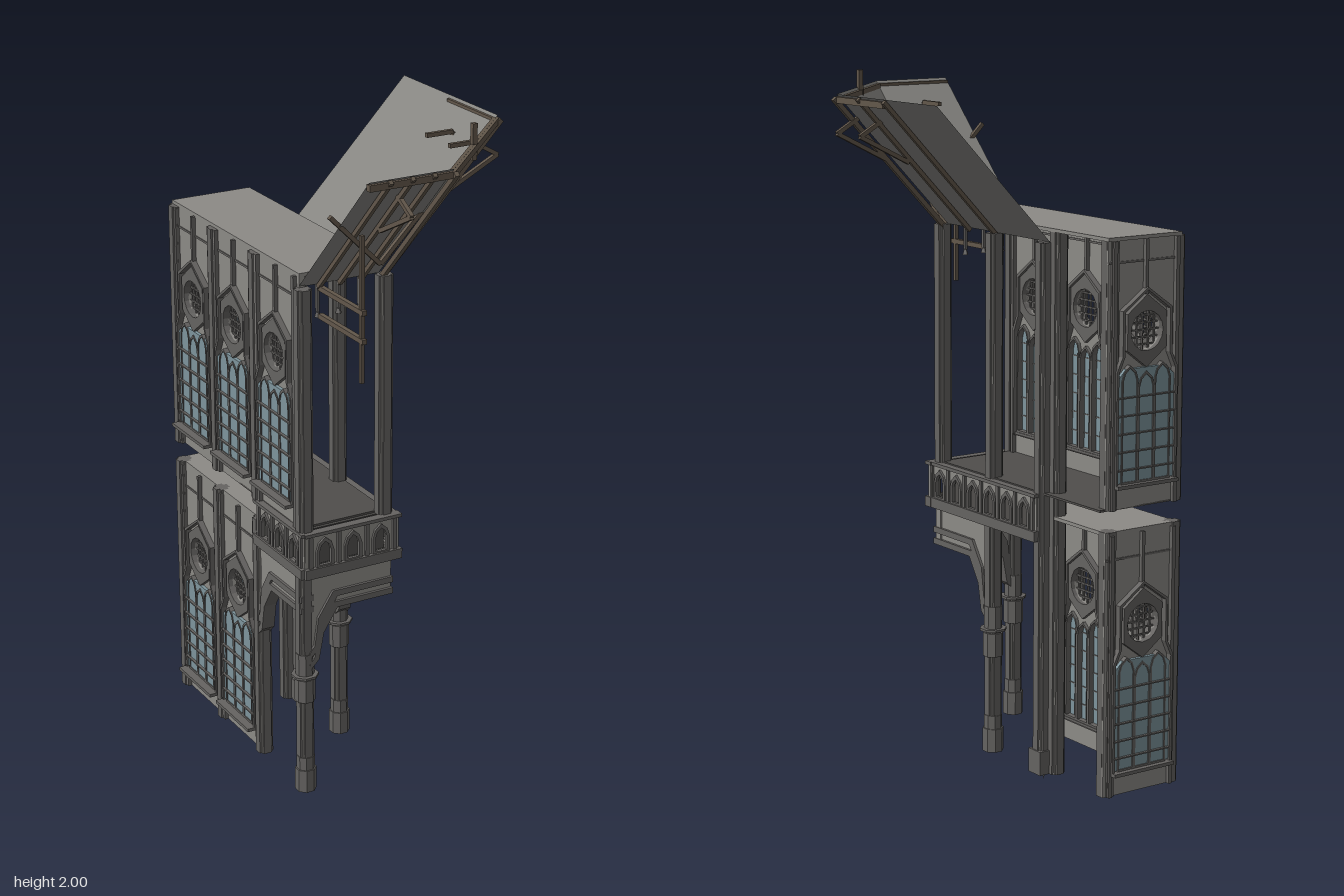
import * as THREE from 'three';

const mat = (color, side = THREE.FrontSide) => new THREE.MeshStandardMaterial({ color, side, flatShading: true });
const STONE = mat(0x8c8a86), TRIM = mat(0x656361), DARK = mat(0x504e4c), GLASS = mat(0x7d949c, THREE.DoubleSide);
const WOOD = mat(0x62574b), SHEET = mat(0x858480, THREE.DoubleSide);
const V = (x, y, z) => new THREE.Vector3(x, y, z);

function add(parent, name, geometry, material, x = 0, y = 0, z = 0) {
  const m = new THREE.Mesh(geometry, material);
  m.name = name;
  m.position.set(x, y, z);
  parent.add(m);
  return m;
}
// box given by its min and max corners
function block(parent, name, material, a, b) {
  return add(parent, name, new THREE.BoxGeometry(b[0] - a[0], b[1] - a[1], b[2] - a[2]), material,
    (a[0] + b[0]) / 2, (a[1] + b[1]) / 2, (a[2] + b[2]) / 2);
}
// square timber between two points
function beam(parent, name, a, b, t = 0.012) {
  const m = add(parent, name, new THREE.BoxGeometry(t, t, a.distanceTo(b)), WOOD);
  m.position.copy(a).add(b).multiplyScalar(0.5);
  m.lookAt(b);
}
const poly = pts => pts.map(p => new THREE.Vector2(p[0], p[1]));
function plate(outline, holes, depth) {
  const s = new THREE.Shape(outline);
  holes.forEach(h => s.holes.push(new THREE.Path(h)));
  return new THREE.ExtrudeGeometry(s, { depth, bevelEnabled: false });
}
const rect = (w, y0, y1) => poly([[-w / 2, y0], [w / 2, y0], [w / 2, y1], [-w / 2, y1]]);
// pointed light: centre x, half width, foot, top
const lancet = (x, h, y0, y1) => poly([[x - h, y0], [x + h, y0], [x + h, y1 - h * 1.5],
  [x + h * 0.7, y1 - h * 0.6], [x, y1], [x - h * 0.7, y1 - h * 0.6], [x - h, y1 - h * 1.5]]);
const disc = (r, cy, n = 16) => Array.from({ length: n }, (_, i) =>
  new THREE.Vector2(r * Math.cos(i / n * 2 * Math.PI), cy + r * Math.sin(i / n * 2 * Math.PI)));
const hex = (w, h, cy) => poly([[0, cy - h], [w, cy - h * 0.5], [w, cy + h * 0.5], [0, cy + h], [-w, cy + h * 0.5], [-w, cy - h * 0.5]]);

// one wall bay with a three-light window and a round grille, moulded on both faces, outside facing +z
function bay(height, sillOut) {
  const g = new THREE.Group();
  g.name = 'windowBay';
  const cy = 0.49, tops = [0.395, 0.375, 0.395];
  const lights = tops.map((t, i) => lancet((i - 1) * 0.056, 0.025, 0.075, t));
  add(g, 'wall', plate(rect(0.25, 0, height), [...lights, disc(0.055, cy)], 0.018), STONE, 0, 0, -0.018);
  block(g, 'glass', GLASS, [-0.085, 0.07, -0.0105], [0.085, 0.395, -0.0075]);
  // wide outer glazing with projecting saddle bars
  const outer = poly([[-0.1, 0.075], [0.1, 0.075], [0.1, 0.36], [0.07, 0.39], [-0.07, 0.39], [-0.1, 0.36]]);
  add(g, 'outerGlazing', plate(outer, [], 0.01), GLASS, 0, 0, 0.002);
  for (let y = 0.11; y < 0.36; y += 0.05) block(g, 'saddleBar', TRIM, [-0.1, y, 0.01], [0.1, y + 0.004, 0.02]);
  // hood moulding round the whole window
  const hood = k => poly([[-0.085 - k, 0.065], [0.085 + k, 0.065], [0.085 + k, 0.375 + k / 2], [0.065 + k, 0.425],
    [0.065 + k, 0.54 + k / 2], [0, 0.59 + k], [-0.065 - k, 0.54 + k / 2], [-0.065 - k, 0.425], [-0.085 - k, 0.375 + k / 2]]);
  add(g, 'innerHood', plate(hood(0.012), [hood(0.003)], 0.02), TRIM, 0, 0, -0.036);
  add(g, 'outerHood', plate(hood(0.02), [hood(0.012)], 0.018), TRIM);
  add(g, 'hexagonFrame', plate(hex(0.067, 0.1, cy), [disc(0.055, cy)], 0.044), TRIM, 0, 0, -0.03);
  tops.forEach((t, i) => add(g, 'lightFrame', plate(lancet((i - 1) * 0.056, 0.028, 0.072, t + 0.005),
    [lancet((i - 1) * 0.056, 0.023, 0.078, t - 0.003)], 0.043), TRIM, 0, 0, -0.028));
  // grille and glazing bars
  for (let i = -2; i <= 2; i++) {
    const d = i * 0.02, s = Math.sqrt(0.055 ** 2 - d * d);
    block(g, 'grilleBar', TRIM, [d - 0.0022, cy - s, -0.012], [d + 0.0022, cy + s, -0.006]);
    block(g, 'grilleBar', TRIM, [-s, cy + d - 0.0022, -0.012], [s, cy + d + 0.0022, -0.006]);
  }
  for (let y = 0.12; y < 0.36; y += 0.055) block(g, 'glazingBar', TRIM, [-0.08, y, -0.013], [0.08, y + 0.003, -0.005]);
  for (const x of [-0.056, 0, 0.056]) block(g, 'glazingBar', TRIM, [x - 0.001, 0.075, -0.013], [x + 0.001, 0.35, -0.005]);
  block(g, 'sill', TRIM, [-0.105, 0.062, -0.03], [0.105, 0.072, sillOut]);
  block(g, 'stringCourse', TRIM, [-0.125, 0.678, -0.021], [0.125, 0.684, 0.003]);
  for (const x of [-0.107, 0.107]) block(g, 'edgeShaft', TRIM, [x - 0.006, 0, -0.03], [x + 0.006, height - 0.01, 0.012]);
  block(g, 'crownShaft', TRIM, [-0.005, 0.59, -0.03], [0.005, height - 0.01, 0.012]);
  return g;
}
function placeBay(parent, x, y, z, turn, height, sillOut) {
  const g = bay(height, sillOut);
  g.position.set(x, y, z);
  g.rotation.y = turn * Math.PI / 2;
  parent.add(g);
}
// stepped clustered column
function column(parent, x, z, y0, y1) {
  block(parent, 'column', TRIM, [x - 0.0225, y0, z - 0.012], [x + 0.0225, y1, z + 0.012]);
  block(parent, 'column', TRIM, [x - 0.012, y0, z - 0.0225], [x + 0.012, y1, z + 0.0225]);
  block(parent, 'columnCore', STONE, [x - 0.017, y0, z - 0.017], [x + 0.017, y1 - 0.002, z + 0.017]);
}
// arcade post: plinth, shaft, capital
function post(parent, x, z) {
  column(parent, x, z, 0.03, 0.72);
  const rings = [[0.031, 0.03, 0.1], [0.027, 0.1, 0.14], [0.03, 0.32, 0.39], [0.04, 0.397, 0.404], [0.027, 0.404, 0.47]];
  for (const [r, a, b] of rings)
    add(parent, 'postMoulding', new THREE.CylinderGeometry(r, r, b - a, 8).rotateY(Math.PI / 8), TRIM, x, (a + b) / 2, z);
}
// pierced balustrade along local x, centred, outside facing +z
function balustrade(parent, len, x, z, turn) {
  const g = new THREE.Group(), n = Math.round(len / 0.09);
  g.name = 'balustrade';
  const cx = i => (i - (n - 1) / 2) * (len - 0.04) / n;
  const holes = Array.from({ length: n }, (_, i) => lancet(cx(i), 0.024, 0.748, 0.828));
  add(g, 'piercedPanel', plate(rect(len - 0.01, 0.73, 0.84), holes, 0.01), STONE, 0, 0, -0.005);
  for (let i = 0; i < n; i++)
    add(g, 'tracery', plate(lancet(cx(i), 0.028, 0.744, 0.833), [lancet(cx(i), 0.018, 0.75, 0.82)], 0.01), TRIM, 0, 0, 0.002);
  for (let i = 0; i <= n; i++)
    block(g, 'baluster', TRIM, [cx(i - 0.5) - 0.006, 0.735, -0.008], [cx(i - 0.5) + 0.006, 0.84, 0.012]);
  block(g, 'topRail', TRIM, [-len / 2, 0.842, -0.012], [len / 2, 0.852, 0.016]);
  block(g, 'bottomRail', TRIM, [-len / 2, 0.715, -0.012], [len / 2, 0.745, 0.018]);
  g.position.set(x, 0, z);
  g.rotation.y = turn * Math.PI / 2;
  parent.add(g);
}

export function createModel() {
  const model = new THREE.Group();
  model.name = 'gothicTower';
  const R = -0.045, L = -0.295, F = 0.205, B = -0.56, CX = -0.17;

  // window walls stand on the left and back only; front and right are open between columns
  const upper = new THREE.Group(), lower = new THREE.Group();
  upper.name = 'upperStorey';
  lower.name = 'lowerStorey';
  model.add(upper, lower);
  for (const z of [0.08, -0.17, -0.42]) {
    placeBay(upper, L, 0.85, z, -1, 0.75, 0.04);
    if (z < 0) placeBay(lower, L, 0.03, z, -1, 0.76, 0.04);
  }
  placeBay(upper, CX, 0.85, B, 2, 0.75, 0.03);
  placeBay(lower, CX, 0.03, B, 2, 0.76, 0.03);

  // columns
  for (const z of [0.215, -0.045, -0.295, -0.543]) {
    column(upper, -0.29, z, 0.85, z > 0.2 ? 1.56 : 1.59);
    if (z < 0) column(lower, -0.29, z, 0.03, 0.79);
  }
  column(upper, -0.067, -0.543, 0.85, 1.59);
  column(lower, -0.067, -0.543, 0.03, 0.79);
  for (const z of [0.215, -0.045]) column(upper, -0.037, z, 0.85, 1.56);
  column(model, -0.037, -0.283, 0.03, 1.56);
  column(model, -0.066, -0.312, 0.03, 1.59);
  block(lower, 'plinth', TRIM, [-0.066, 0.03, -0.312], [-0.01, 0.1, -0.257]);
  add(lower, 'footSpike', new THREE.ConeGeometry(0.008, 0.035, 4).rotateX(Math.PI), TRIM, -0.055, 0.0175, -0.27);
  // hanging spikes at the front eave
  for (const x of [-0.235, CX, -0.105]) {
    block(upper, 'spikeRod', TRIM, [x - 0.004, 1.48, F - 0.012], [x + 0.004, 1.59, F - 0.002]);
    add(upper, 'spikeTip', new THREE.ConeGeometry(0.01, 0.03, 4), TRIM, x, 1.48, F - 0.007);
  }

  // floors and flat roofs
  block(upper, 'roof', STONE, [L, 1.59, B - 0.005], [R + 0.003, 1.6, F]);
  block(upper, 'floor', DARK, [L, 0.85, B], [R + 0.02, 0.856, F]);
  block(lower, 'lowerRoof', STONE, [L, 0.78, B], [R, 0.79, -0.04]);
  block(model, 'balconyCore', DARK, [L + 0.005, 0.72, -0.04], [R + 0.01, 0.85, F + 0.01]);
  block(model, 'balconyBacking', DARK, [R - 0.01, 0.72, -0.29], [R + 0.01, 0.85, -0.04]);

  // porch posts and arches
  post(model, -0.29, 0.21);
  post(model, -0.035, -0.045);
  const half = [[0, 0.42], [0.03, 0.45], [0.045, 0.53], [0.09, 0.6]];
  const spandrel = poly([...half, [0.272, 0.6], [0.272, 0.72], [0, 0.72]]);
  const mould = k => poly([...half.map(p => [p[0] + 0.004, p[1] + k]), [0.275, 0.6 + k],
    [0.275, 0.618 + k], [0.08, 0.618 + k], [0.032, 0.545 + k], [0.02, 0.46 + k], [0.004, 0.44 + k]]);
  for (const [x, z, turn] of [[-0.29, 0.215, 0], [-0.035, -0.045, -1], [-0.29, -0.045, -1]]) {
    const g = new THREE.Group();
    g.name = 'porchArch';
    add(g, 'spandrel', plate(spandrel, [], 0.024), STONE, 0, 0, -0.012);
    for (const k of [0, 0.035]) add(g, 'archMoulding', plate(mould(k), [], 0.04), TRIM, 0, 0, -0.02);
    g.position.set(x, 0, z);
    g.rotation.y = turn * Math.PI / 2;
    model.add(g);
  }

  // balcony
  balustrade(model, 0.31, -0.152, 0.237, 0);
  balustrade(model, 0.545, -0.017, -0.02, 1);
  balustrade(model, 0.29, -0.3, 0.1, -1);

  // flared canopy: front sheet, corner triangle, right sheet
  const y0 = 1.56, y1 = 1.95, c0 = V(R, y0, 0.2), c1 = V(R, y1, 0.58), c2 = V(0.33, y1, 0.2);
  const f0 = V(L, y0, 0.2), f1 = V(L, y1, 0.58), r0 = V(R, y0, -0.3), r1 = V(0.33, y1, -0.3);
  const sheet = new THREE.BufferGeometry().setFromPoints([f0, c0, c1, f0, c1, f1, c0, c2, c1, c0, r0, r1, c0, r1, c2]);
  sheet.computeVertexNormals();
  const canopy = new THREE.Group();
  canopy.name = 'canopy';
  model.add(canopy);
  add(canopy, 'canopySheet', sheet, SHEET);
  // timbers lie against the underside of the sheet
  const under = (name, a, b, dx, dy, dz, t) => {
    const d = V(dx, dy, dz);
    beam(canopy, name, a.clone().add(d), b.clone().add(d), t);
  };
  under('rimBeam', f1, c1, 0, -0.016, -0.006, 0.018);
  under('rimBeam', c1, c2, -0.004, -0.016, -0.004, 0.018);
  under('rimBeam', c2, V(0.33, y1, -0.04), -0.006, -0.016, 0, 0.018);
  under('hipBeam', c0, c1, 0.003, -0.012, 0.008, 0.014);
  under('hipBeam', c0, c2, 0.008, -0.012, 0.003, 0.014);
  for (const x of [-0.235, CX, -0.105]) under('rafter', V(x, y0, 0.2), V(x, y1, 0.58), 0, -0.006, 0.006);
  for (const z of [0.08, -0.05]) under('rafter', V(R, y0, z), V(0.33, y1, z), 0.006, -0.006, 0);

  // outrigger brackets with tie bars above the sheet
  const bracket = at => {
    beam(canopy, 'bracket', at(0.17, 1.76), at(0.33, 1.84));
    beam(canopy, 'bracket', at(0.33, 1.84), at(0.26, 1.88));
    beam(canopy, 'tieBar', at(0.175, 1.885), at(0.26, 1.885));
  };
  bracket((d, y) => V(CX, y, d + 0.25));
  for (const z of [0.2, 0.08]) bracket((d, y) => V(d, y, z));
  // forked brace in front, mast on the corner rim
  beam(canopy, 'brace', V(CX, 1.67, 0.42), V(-0.32, 1.82, 0.42));
  beam(canopy, 'brace', V(CX, 1.67, 0.42), V(-0.045, 1.795, 0.42));
  beam(canopy, 'mast', V(0.133, 1.9, 0.39), V(0.133, 2, 0.39), 0.014);

  // hanging pole on two arms
  beam(model, 'hangingPole', V(-0.23, 1.35, 0.43), V(-0.23, 1.76, 0.43), 0.011);
  for (const y of [1.47, 1.55]) beam(model, 'poleArm', V(-0.23, y, 0.205), V(-0.23, y, 0.445), 0.014);
  return model;
}
